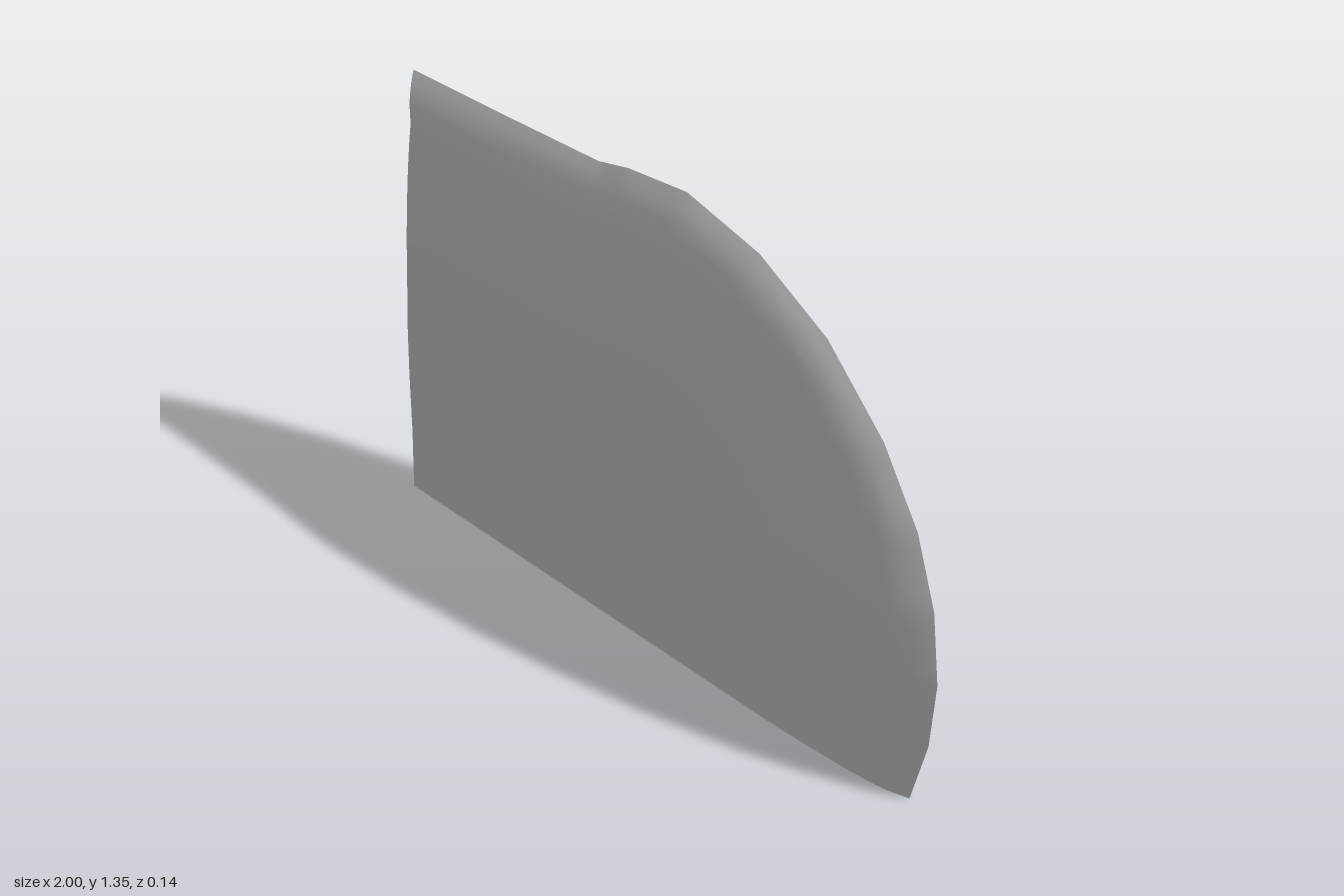
import * as THREE from 'three';

// Outline shared by both panels: upper rim (left to right) and curved rim (bottom to top)
const TOP = [[-0.94, 1.3], [-0.6, 1.302], [-0.2, 1.308], [-0.09, 1.33], [0.12, 1.345], [0.37, 1.28], [0.6, 1.15]];
const NOSE = [[0.935, 0], [0.985, 0.19], [1, 0.38], [0.975, 0.58], [0.91, 0.77], [0.79, 0.96], [0.6, 1.15]];
const RIM = [...TOP, ...NOSE.slice(0, -1).reverse()];

// Open end of each panel, bottom to top
const FRONT_END = [[-0.975, 0], [-0.96, 0.2], [-0.945, 0.4], [-0.93, 0.6], [-0.912, 0.9], [-0.905, 1.17], [-0.94, 1.3]];
const BACK_END = [[-1, 0], [-1, 0.2], [-0.975, 0.4], [-0.972, 0.7], [-0.953, 0.95], [-0.947, 1.19], [-0.94, 1.3]];

// Half thickness by distance from the rim, and its fullness by height
const DEPTH = [[0, 0], [0.035, 0.018], [0.08, 0.034], [0.14, 0.045], [0.22, 0.053], [0.32, 0.061], [0.44, 0.067], [3, 0.067]];
const FRONT_FULL = [[0, 0.68], [0.2, 0.77], [0.38, 0.92], [0.55, 1.02], [1, 1.03], [2, 1]];
const BACK_FULL = [[0, 0.65], [0.2, 0.72], [0.45, 1.02], [0.6, 0.97], [1, 0.97], [2, 1]];

// Point on a polyline, t = 0..1 by vertex index
function along(line, t) {
  const f = t * (line.length - 1), i = Math.min(Math.floor(f), line.length - 2), k = f - i;
  return [0, 1].map((c) => line[i][c] + (line[i + 1][c] - line[i][c]) * k);
}

// Piecewise linear lookup
function lookup(table, x) {
  let i = 0;
  while (i < table.length - 2 && x > table[i + 1][0]) i++;
  const [a, b] = [table[i], table[i + 1]];
  return a[1] + (b[1] - a[1]) * (x - a[0]) / (b[0] - a[0]);
}

function rimDistance(x, y) {
  let best = Infinity;
  for (let i = 0; i < RIM.length - 1; i++) {
    const [ax, ay] = RIM[i], dx = RIM[i + 1][0] - ax, dy = RIM[i + 1][1] - ay;
    const k = THREE.MathUtils.clamp(((x - ax) * dx + (y - ay) * dy) / (dx * dx + dy * dy), 0, 1);
    best = Math.min(best, Math.hypot(x - ax - dx * k, y - ay - dy * k));
  }
  return best;
}

// Panel: a patch blended between its four edges, bulging away from the rim
function panel(name, side, end, fullness, material) {
  const n = 30;
  const bottom = [end[0], [-0.6, 0], [-0.2, 0], [0.03, 0], [0.36, 0], [0.65, 0], NOSE[0]];
  const geometry = new THREE.PlaneGeometry(1, 1, n, n);
  const pos = geometry.attributes.position;
  for (let i = 0; i < pos.count; i++) {
    const s = (i % (n + 1)) / n, t = 1 - Math.floor(i / (n + 1)) / n;
    const L = along(end, t), R = along(NOSE, t), B = along(bottom, s), T = along(TOP, s);
    const [x, y] = [0, 1].map((c) =>
      (1 - s) * L[c] + s * R[c] + (1 - t) * B[c] + t * T[c]
      - (1 - s) * (1 - t) * end[0][c] - s * (1 - t) * NOSE[0][c]
      - (1 - s) * t * TOP[0][c] - s * t * TOP[6][c]);
    pos.setXYZ(i, x, y, side * lookup(DEPTH, rimDistance(x, y)) * lookup(fullness, y));
  }
  // Turn the faces of the back panel outward
  if (side < 0) {
    const index = geometry.index;
    for (let i = 0; i < index.count; i += 3) {
      const a = index.getX(i);
      index.setX(i, index.getX(i + 1));
      index.setX(i + 1, a);
    }
  }
  geometry.computeVertexNormals();
  const mesh = new THREE.Mesh(geometry, material);
  mesh.name = name;
  return mesh;
}

export function createModel() {
  const group = new THREE.Group();
  group.name = 'hollowShell';
  const material = new THREE.MeshStandardMaterial({ color: 0xcccccc, side: THREE.DoubleSide });
  group.add(
    panel('frontPanel', 1, FRONT_END, FRONT_FULL, material),
    panel('backPanel', -1, BACK_END, BACK_FULL, material),
  );
  return group;
}
